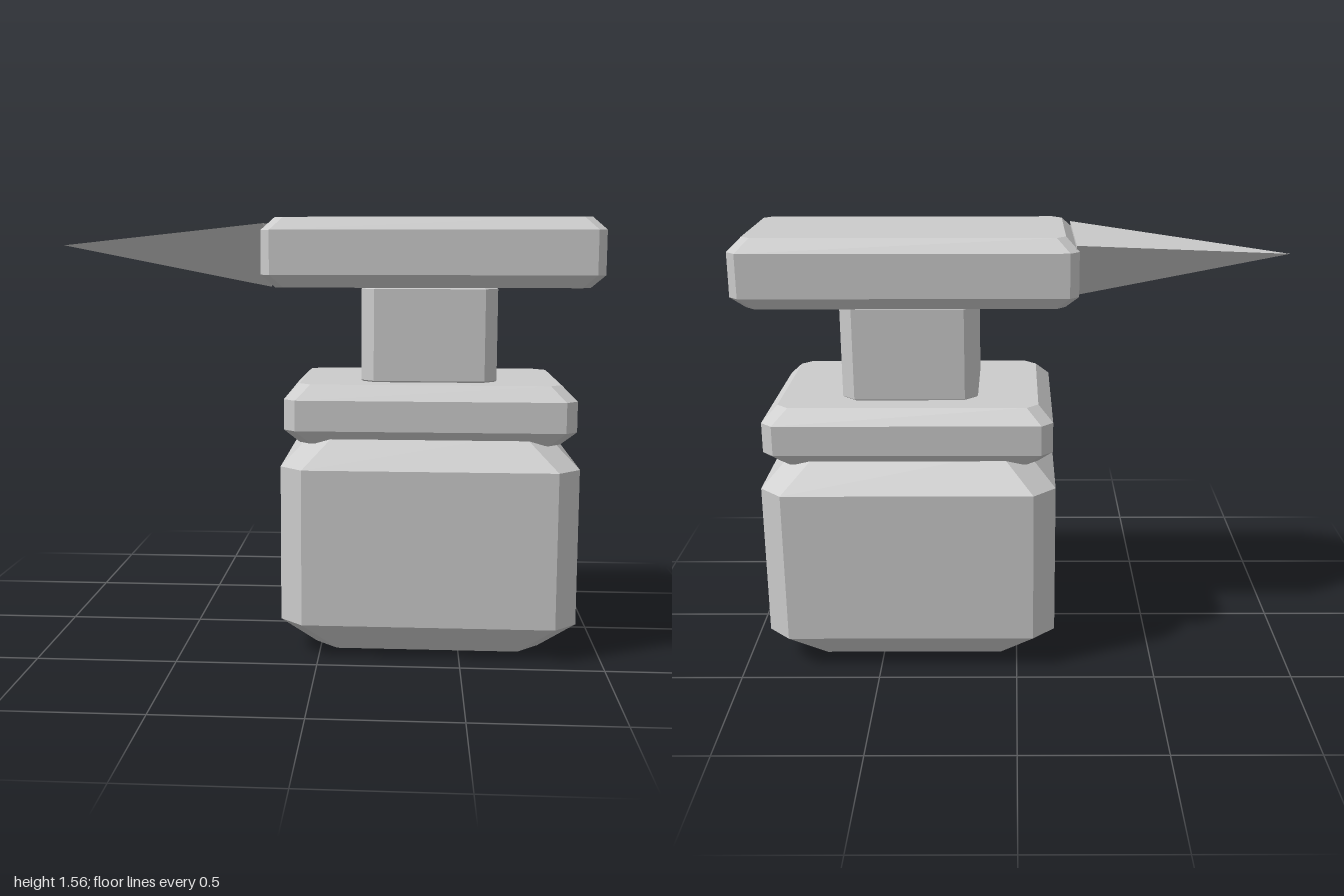
import * as THREE from 'three';

// Box with bevelled top and bottom edges and clipped vertical corners,
// made from four stacked eight-sided rings.
function chamferedBox([x0, x1], [y0, y1], halfZ, bevel, corner) {
  const cx = (x0 + x1) / 2;
  const ring = (y, inset) => {
    const w = (x1 - x0) / 2 - inset, d = halfZ - inset, c = corner;
    return [
      [w, d - c], [w, c - d], [w - c, -d], [c - w, -d],
      [-w, c - d], [-w, d - c], [c - w, d], [w - c, d],
    ].map(([x, z]) => [cx + x, y, z]);
  };
  const rings = [ring(y0, bevel), ring(y0 + bevel, 0), ring(y1 - bevel, 0), ring(y1, bevel)];
  const positions = [];
  const tri = (a, b, c) => positions.push(...a, ...b, ...c);
  // Side bands
  for (let r = 0; r < 3; r++) {
    for (let i = 0; i < 8; i++) {
      const j = (i + 1) % 8;
      const a = rings[r][i], b = rings[r][j], c = rings[r + 1][j], d = rings[r + 1][i];
      tri(a, b, c);
      tri(a, c, d);
    }
  }
  // Caps
  for (let i = 1; i < 7; i++) {
    tri(rings[3][0], rings[3][i], rings[3][i + 1]);
    tri(rings[0][0], rings[0][i + 1], rings[0][i]);
  }
  const geometry = new THREE.BufferGeometry();
  geometry.setAttribute('position', new THREE.Float32BufferAttribute(positions, 3));
  geometry.computeVertexNormals();
  return geometry;
}

// Flattened three-sided spike, flat side up, pointing to -x
function spike(xBase, xTip, y, radiusY, radiusZ) {
  const length = xBase - xTip;
  const geometry = new THREE.ConeGeometry(1, length, 3, 1, false, -Math.PI / 2)
    .rotateZ(Math.PI / 2)
    .scale(1, radiusY, radiusZ)
    .translate((xBase + xTip) / 2, y, 0)
    .toNonIndexed();
  geometry.computeVertexNormals();
  return geometry;
}

export function createModel() {
  const model = new THREE.Group();
  model.name = 'anvil';
  const iron = new THREE.MeshStandardMaterial({ color: 0xcccccc });
  iron.name = 'grey iron';

  const add = (name, geometry) => {
    const mesh = new THREE.Mesh(geometry, iron);
    mesh.name = name;
    model.add(mesh);
  };

  add('base', chamferedBox([-0.14, 0.915], [0, 0.8], 0.43, 0.12, 0.08));
  add('collar', chamferedBox([-0.13, 0.905], [0.757, 0.97], 0.365, 0.052, 0.042));
  add('neck', chamferedBox([0.14, 0.63], [0.91, 1.37], 0.225, 0.065, 0.046));
  add('head', chamferedBox([-0.218, 1], [1.31, 1.56], 0.285, 0.046, 0.033));
  add('horn', spike(-0.207, -1, 1.46, 0.155, 0.306));

  return model;
}
